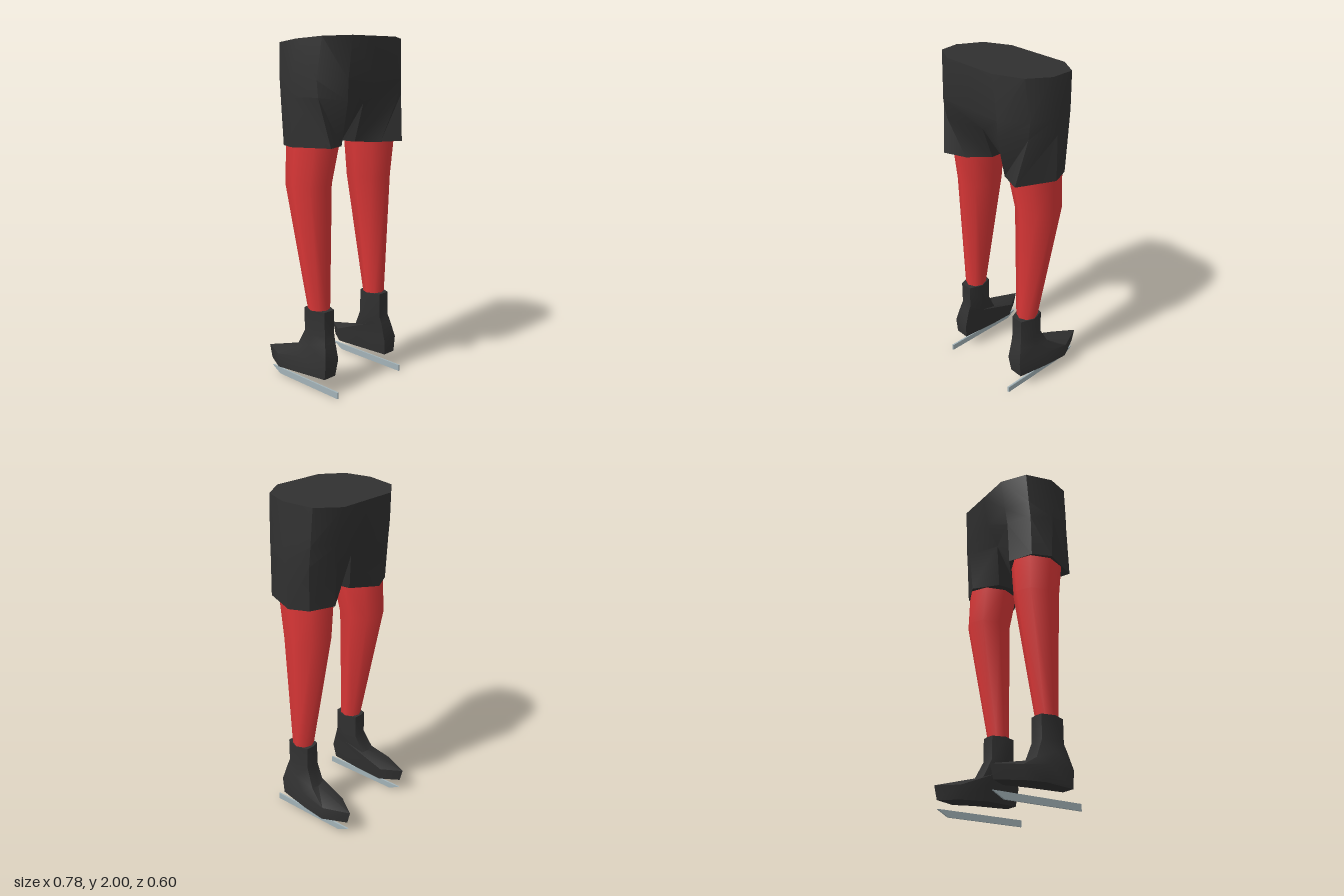
import * as THREE from 'three';
import { toCreasedNormals } from 'three/addons/utils/BufferGeometryUtils.js';

const V = (x, y, z) => new THREE.Vector3(x, y, z);

// Joins rings of [x, y, z] points, listed bottom to top, into triangles with end caps.
// closed(k) tells whether the band above ring k also joins its last point to its first.
function loft(rings, closed = () => true) {
  const tris = [];
  const r = rings.map(ring => ring.map(p => V(...p)));
  const n = r[0].length;
  for (let k = 0; k < r.length - 1; k++) {
    for (let i = 0; i < (closed(k) ? n : n - 1); i++) {
      const j = (i + 1) % n;
      tris.push([r[k][i], r[k][j], r[k + 1][j]], [r[k][i], r[k + 1][j], r[k + 1][i]]);
    }
  }
  const cap = (ring, up) => {
    const c = ring.reduce((s, p) => s.add(p), V(0, 0, 0)).divideScalar(n);
    ring.forEach((p, i) => {
      const q = ring[(i + 1) % n];
      tris.push(up ? [c, p, q] : [c, q, p]);
    });
  };
  cap(r[0], false);
  cap(r[r.length - 1], true);
  return tris;
}

const mirror = tris => tris.map(([a, b, c]) => [a, c, b].map(p => V(-p.x, p.y, p.z)));

function toGeometry(tris, crease = 0.7) {
  // drop triangles that have collapsed to a line
  const solid = tris.filter(t => new THREE.Triangle(...t).getArea() > 1e-7);
  const g = new THREE.BufferGeometry().setFromPoints(solid.flat());
  g.computeVertexNormals();
  return toCreasedNormals(g, crease);
}

// Horizontal oval ring given by its extents
function oval(y, x0, x1, z0, z1, n = 8) {
  return Array.from({ length: n }, (_, i) => {
    const a = i / n * Math.PI * 2;
    return [(x0 + x1) / 2 + Math.sin(a) * (x1 - x0) / 2, y, (z0 + z1) / 2 + Math.cos(a) * (z1 - z0) / 2];
  });
}

export function createModel() {
  const group = new THREE.Group();
  const black = new THREE.MeshStandardMaterial({ name: 'black cloth', color: 0x313131 });
  const red = new THREE.MeshStandardMaterial({ name: 'red stocking', color: 0xdb3737 });
  const steel = new THREE.MeshStandardMaterial({ name: 'blade steel', color: 0xa3b3b8 });
  const add = (name, geometry, material) => {
    const m = new THREE.Mesh(geometry, material);
    m.name = name;
    group.add(m);
    return m;
  };

  // Shorts: one half from hem to slanted waist, then mirrored
  const flat = (y, pts) => pts.map(([x, z]) => [x, y, z]);
  const hem = flat(1.415, [[0.06, 0.09], [0.16, 0.2], [0.29, 0.25], [0.385, 0.04], [0.34, -0.07], [0.2, -0.13], [0.065, -0.02]]);
  const crotch = [[0, 1.64, 0.21], [0.2, 1.66, 0.285], [0.335, 1.68, 0.2], [0.392, 1.68, 0.05],
    [0.347, 1.66, -0.08], [0.21, 1.66, -0.15], [0, 1.64, -0.08]];
  const hips = flat(1.77, [[0, 0.297], [0.21, 0.298], [0.34, 0.195], [0.385, 0.055], [0.345, -0.09], [0.205, -0.165], [0, -0.155]]);
  const waist = [[0, 0.29], [0.17, 0.29], [0.315, 0.21], [0.367, 0.07], [0.335, -0.1], [0.2, -0.19], [0, -0.19]]
    .map(([x, z]) => [x, 1.976 + 0.083 * z, z]);
  const half = loft([hem, crotch, hips, waist], k => k === 0);
  add('shorts', toGeometry([...half, ...mirror(half)]), black);

  // Stocking: tapering from thigh to ankle
  const leg = loft([
    oval(0.42, 0.172, 0.293, 0.035, 0.155),
    oval(0.48, 0.17, 0.296, 0.03, 0.157),
    oval(1.2, 0.13, 0.364, -0.115, 0.17),
    oval(1.42, 0.096, 0.364, -0.115, 0.205),
    oval(1.5, 0.096, 0.364, -0.115, 0.205),
  ]);

  // Boot: heel, outer side, pointed toe, inner side on each ring
  const boot = loft([
    [[0.215, 0.1, 0.205], [0.3, 0.1, 0.205], [0.338, 0.1, 0], [0.345, 0.09, -0.14], [0.275, 0.087, -0.28], [0.2, 0.09, -0.17], [0.195, 0.1, 0]],
    [[0.2, 0.2, 0.215], [0.3, 0.2, 0.215], [0.33, 0.2, 0.03], [0.343, 0.17, -0.145], [0.275, 0.165, -0.3], [0.195, 0.17, -0.18], [0.183, 0.2, 0]],
    [[0.2, 0.3, 0.19], [0.28, 0.3, 0.19], [0.312, 0.28, 0.09], [0.3, 0.235, -0.03], [0.25, 0.228, -0.035], [0.2, 0.235, -0.03], [0.178, 0.28, 0.09]],
    ...[0.345, 0.485].map(y => flat(y, [[0.195, 0.177], [0.27, 0.177], [0.3, 0.1], [0.28, 0.022], [0.235, 0.015], [0.19, 0.022], [0.165, 0.1]])),
  ]);

  // Blade profile with a slanted tip
  const profile = new THREE.Shape([[-0.28, 0], [0.21, 0], [0.28, 0.038], [-0.28, 0.038]].map(p => new THREE.Vector2(...p)));
  const blade = new THREE.ExtrudeGeometry(profile, { depth: 0.01, bevelEnabled: false });
  blade.translate(0, 0, -0.005).rotateY(Math.PI / 2);

  for (const [side, s] of [['left', 1], ['right', -1]]) {
    const place = t => (s > 0 ? t : mirror(t));
    add(side + 'Stocking', toGeometry(place(leg), 0.95), red);
    add(side + 'Boot', toGeometry(place(boot), 0.8), black);
    add(side + 'Blade', blade, steel).position.x = s * 0.268;
  }
  return group;
}
